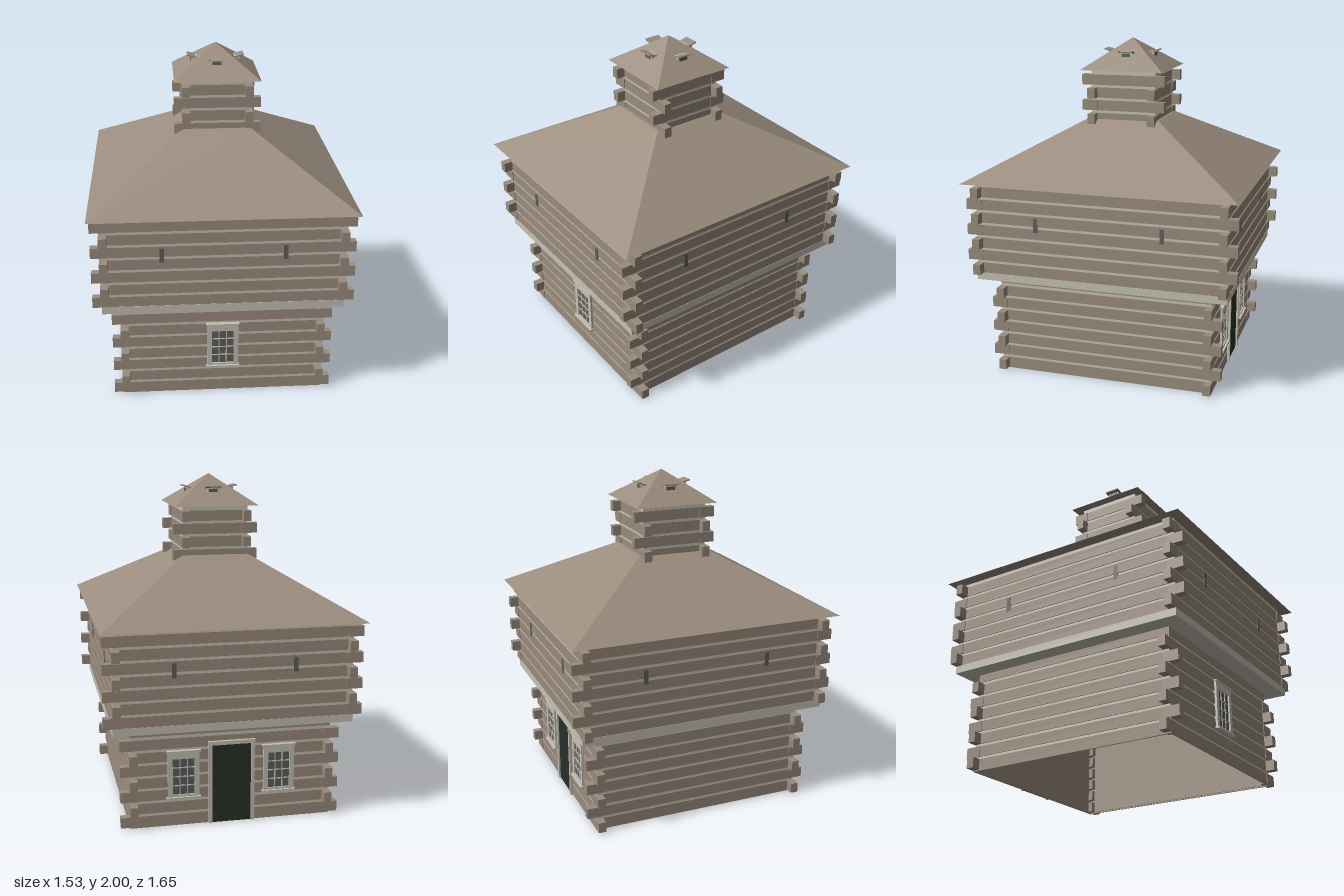
import * as THREE from 'three';

const mat = (name, color) => {
  const m = new THREE.MeshStandardMaterial({ color });
  m.name = name;
  return m;
};

export function createModel() {
  const timber = mat('timber', 0x9a8c7d);
  const pale = mat('paleTrim', 0xc6c2b4);
  const glass = mat('greyGlass', 0x5c605e);
  const green = mat('darkGreen', 0x283028);
  const model = new THREE.Group();
  model.name = 'blockhouse';

  const group = (name, parent = model) => {
    const g = new THREE.Group();
    g.name = name;
    parent.add(g);
    return g;
  };

  // Box given by its limits on each axis
  const box = (parent, name, m, x0, x1, y0, y1, z0, z1) => {
    const mesh = new THREE.Mesh(new THREE.BoxGeometry(x1 - x0, y1 - y0, z1 - z0), m);
    mesh.position.set((x0 + x1) / 2, (y0 + y1) / 2, (z0 + z1) / 2);
    mesh.name = name;
    parent.add(mesh);
    return mesh;
  };

  // Four thin walls around a rectangle
  const ring = (parent, name, m, hx, hz, t, y0, y1) => {
    for (const s of [-1, 1]) {
      const x = s * (hx - t / 2), z = s * (hz - t / 2);
      box(parent, name, m, -hx, hx, y0, y1, z - t / 2, z + t / 2);
      box(parent, name, m, x - t / 2, x + t / 2, y0, y1, -hz + t, hz - t);
    }
  };

  // Log storey: courses with chinking between, and log ends crossing at the corners
  const PITCH = 0.0775, LOG = 0.062, END = 0.052;
  const storey = (name, hx, hz, y0, top, rows, overlap) => {
    const g = group(name);
    ring(g, 'chinking', pale, hx - 0.005, hz - 0.005, 0.004, y0, top);
    ring(g, 'innerWall', timber, hx - 0.009, hz - 0.009, 0.004, y0, top);
    for (let i = 0; i < rows; i++) {
      const a = y0 + i * PITCH, b = a + LOG;
      ring(g, 'logCourse', timber, hx, hz, 0.008, a, b);
      for (const sx of [-1, 1]) for (const sz of [-1, 1]) {
        const alongX = i % 2 === 0;
        const xo = hx + (alongX ? overlap : 0.004), xi = hx - 0.042;
        const zo = hz + (alongX ? 0.004 : overlap), zi = hz - 0.042;
        box(g, 'logEnd', timber, Math.min(sx * xi, sx * xo), Math.max(sx * xi, sx * xo),
          a, b, Math.min(sz * zi, sz * zo), Math.max(sz * zi, sz * zo));
      }
    }
    return g;
  };

  const lower = storey('lowerStorey', 0.6, 0.66, 0.008, 0.6, 7, 0.054);
  ring(lower, 'topLog', timber, 0.6, 0.66, 0.008, 0.553, 0.6);
  ring(lower, 'footLog', timber, 0.6, 0.66, 0.008, 0, 0.008);
  const upper = storey('upperStorey', 0.7, 0.76, 0.645, 1.2, 7, 0.054);
  box(upper, 'overhangFloor', pale, -0.702, 0.702, 0.6, 0.645, -0.762, 0.762);
  storey('lookoutTower', 0.205, 0.205, 1.497, 1.82, 4, END);

  // Hipped roofs: a box whose upper corners are drawn in
  const hipRoof = (name, hx, hz, tx, tz, y0, y1) => {
    const geo = new THREE.BoxGeometry(2, 1, 2).toNonIndexed();
    const p = geo.attributes.position;
    for (let i = 0; i < p.count; i++) {
      const up = p.getY(i) > 0;
      p.setXYZ(i, p.getX(i) * (up ? tx : hx), up ? y1 : y0, p.getZ(i) * (up ? tz : hz));
    }
    geo.computeVertexNormals();
    const mesh = new THREE.Mesh(geo, timber);
    mesh.name = name;
    model.add(mesh);
  };
  hipRoof('mainRoof', 0.767, 0.825, 0.2, 0.22, 1.195, 1.525);
  hipRoof('towerRoof', 0.255, 0.256, 0.001, 0.001, 1.82, 2);

  // Small roof vents, one on each slope
  for (let i = 0; i < 4; i++) {
    const v = group('roofVent');
    v.rotation.y = i * Math.PI / 2;
    box(v, 'ventBody', pale, -0.037, 0.037, 1.885, 1.922, 0.07, 0.145);
    box(v, 'ventPane', glass, -0.026, 0.026, 1.892, 1.915, 0.142, 0.149);
    const cap = box(v, 'ventCap', timber, -0.047, 0.047, 1.92, 1.927, 0.11, 0.17);
    cap.rotation.x = -0.25;
  }

  // Loopholes on all four upper walls
  for (const s of [-1, 1]) for (const side of [-1, 1]) {
    const x = s * 0.352, z = s * 0.381;
    box(upper, 'loophole', glass, x - 0.013, x + 0.013, 0.92, 1.005, side * 0.76 - 0.003, side * 0.76 + 0.003);
    box(upper, 'loophole', glass, side * 0.7 - 0.003, side * 0.7 + 0.003, 0.92, 1.005, z - 0.013, z + 0.013);
  }

  // Framed window, three panes by four, facing +z in its own group
  const windowAt = (parent, x) => {
    const w = group('window', parent);
    w.position.x = x;
    for (const s of [-1, 1]) {
      box(w, 'frameSide', pale, s * 0.079 - 0.014, s * 0.079 + 0.014, 0.18, 0.455, 0.655, 0.673);
    }
    box(w, 'frameTop', pale, -0.065, 0.065, 0.41, 0.455, 0.655, 0.673);
    box(w, 'frameBottom', pale, -0.065, 0.065, 0.18, 0.192, 0.655, 0.673);
    box(w, 'lintel', pale, -0.1, 0.1, 0.452, 0.461, 0.655, 0.68);
    box(w, 'sill', pale, -0.1, 0.1, 0.168, 0.18, 0.655, 0.685);
    box(w, 'pane', glass, -0.066, 0.066, 0.19, 0.412, 0.656, 0.664);
    for (const s of [-1, 1]) {
      box(w, 'glazingBar', pale, s * 0.022 - 0.003, s * 0.022 + 0.003, 0.19, 0.412, 0.662, 0.668);
    }
    for (let i = 1; i < 4; i++) {
      const y = 0.192 + i * 0.0545;
      box(w, 'glazingBar', pale, -0.065, 0.065, y - 0.003, y + 0.003, 0.662, 0.668);
    }
  };
  windowAt(model, 0);

  // Back wall: doorway between two windows
  const back = group('backOpenings');
  back.rotation.y = Math.PI;
  windowAt(back, -0.285);
  windowAt(back, 0.285);
  box(back, 'door', green, -0.118, 0.118, 0, 0.48, 0.656, 0.665);
  for (const s of [-1, 1]) {
    box(back, 'doorJamb', pale, s * 0.127 - 0.01, s * 0.127 + 0.01, 0, 0.48, 0.655, 0.676);
  }
  box(back, 'doorLintel', pale, -0.14, 0.14, 0.48, 0.503, 0.655, 0.678);

  return model;
}
